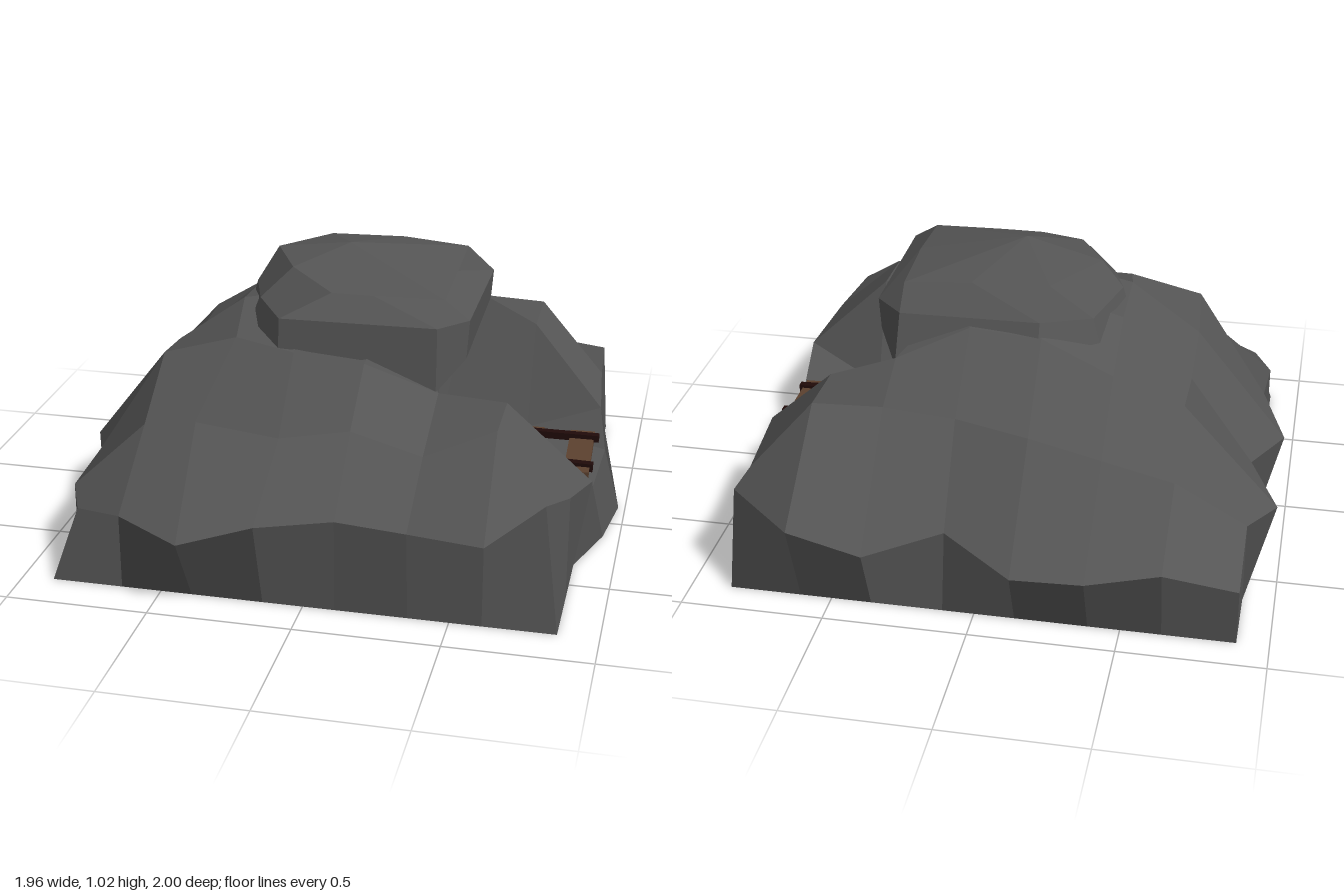
import * as THREE from 'three';

const rock = new THREE.MeshStandardMaterial({ color: 0x555555 });
rock.name = 'dark rock';
const timber = new THREE.MeshStandardMaterial({ color: 0x5c412f });
timber.name = 'brown timber';
const iron = new THREE.MeshStandardMaterial({ color: 0x200b09 });
iron.name = 'rusty iron';

// Flat-faceted rock mesh; each triangle or quad (list of [x, y, z] corners) gets one normal
function rockMesh(name, faces) {
  const position = [], normal = [];
  for (const face of faces) {
    const p = face.map((c) => new THREE.Vector3(...c));
    const last = p.length - 1;
    const n = p[2].clone().sub(p[0]).cross(p[last].clone().sub(p[1 % last])).normalize();
    if (last === 2) n.copy(p[1]).sub(p[0]).cross(p[2].clone().sub(p[0])).normalize();
    for (let k = 1; k < last; k++) for (const c of [p[0], p[k], p[k + 1]]) {
      position.push(c.x, c.y, c.z);
      normal.push(n.x, n.y, n.z);
    }
  }
  const geo = new THREE.BufferGeometry();
  geo.setAttribute('position', new THREE.Float32BufferAttribute(position, 3));
  geo.setAttribute('normal', new THREE.Float32BufferAttribute(normal, 3));
  const mesh = new THREE.Mesh(geo, rock);
  mesh.name = name;
  return mesh;
}

// Joins two closed loops running counter-clockwise seen from above
function bridge(faces, low, high) {
  low.forEach((p, i) => {
    const k = (i + 1) % low.length;
    faces.push([p, low[k], high[k], high[i]]);
  });
}

// Closes a loop to a single point, facing up or down
function fan(faces, loop, tip, up) {
  loop.forEach((p, i) => {
    const q = loop[(i + 1) % loop.length];
    faces.push(up ? [p, q, tip] : [q, p, tip]);
  });
}

function createMound() {
  const xs = [-0.89, -0.64, -0.39, -0.14, 0.11, 0.36, 0.61, 0.86];
  const zs = [-0.88, -0.63, -0.38, -0.14, 0.11, 0.35, 0.6, 0.845];
  // Heights, one row per z from back to front
  const heights = [
    [0.20, 0.28, 0.24, 0.22, 0.28, 0.25, 0.33, 0.37],
    [0.30, 0.44, 0.50, 0.56, 0.61, 0.63, 0.62, 0.34],
    [0.23, 0.60, 0.69, 0.81, 0.83, 0.72, 0.61, 0.34],
    [0.26, 0.58, 0.80, 0.87, 0.87, 0.26, 0.25, 0.21],
    [0.23, 0.64, 0.82, 0.87, 0.87, 0.25, 0.24, 0.23],
    [0.28, 0.68, 0.75, 0.73, 0.71, 0.62, 0.61, 0.33],
    [0.25, 0.48, 0.51, 0.50, 0.55, 0.48, 0.60, 0.38],
    [0.24, 0.27, 0.265, 0.33, 0.33, 0.33, 0.29, 0.43],
  ];
  // Ragged upper rim
  const backZ = [-0.88, -0.95, -0.99, -0.975, -0.83, -0.98, -1.0, -0.83];
  const frontZ = [0.76, 0.845, 1.0, 0.945, 0.845, 0.88, 0.845, 0.78];
  const leftX = [-0.89, -0.89, -0.98, -0.87, -0.975, -0.88, -0.89, -0.82];
  const rightX = [0.84, 0.85, 0.87, 0.9, 0.9, 0.91, 0.86, 0.8];
  // Points pulled to shape the trench and front slope, keyed row,column
  const moved = {
    '2,5': [0.36, -0.44], '2,6': [0.61, -0.4], '2,7': [0.88, -0.28],
    '3,4': [0.2, -0.24], '3,5': [0.28, -0.25], '3,6': [0.61, -0.25], '3,7': [0.91, -0.19],
    '4,4': [0.2, 0.22], '4,5': [0.28, 0.24], '4,6': [0.61, 0.22], '4,7': [0.9, 0.18],
    '5,1': [-0.62, 0.35], '5,2': [-0.36, 0.33], '5,3': [-0.14, 0.38], '5,4': [0.11, 0.38],
    '5,5': [0.37, 0.37], '5,6': [0.61, 0.38], '6,1': [-0.64, 0.54], '6,2': [-0.45, 0.55],
  };
  const top = heights.map((row, j) => row.map((y, i) => {
    let x = i === 0 ? leftX[j] : i === 7 ? rightX[j] : xs[i];
    let z = j === 0 ? backZ[i] : j === 7 ? frontZ[i] : zs[j];
    if (moved[`${j},${i}`]) [x, z] = moved[`${j},${i}`];
    return [x, y, z];
  }));
  const faces = [];
  for (let j = 0; j < 7; j++) for (let i = 0; i < 7; i++) {
    const a = top[j][i], b = top[j][i + 1], c = top[j + 1][i + 1], d = top[j + 1][i];
    // The trench walls fold along the other diagonal
    if (j === 2 && i > 3) faces.push([a, d, b], [b, d, c]);
    else if (j === 4 && i > 3) faces.push([a, d, c], [a, c, b]);
    else faces.push([a, d, c, b]);
  }
  // Sides down to the flat base, bulging below the trench
  const border = [];
  for (let k = 7; k > 0; k--) border.push([k, 7]);
  for (let k = 7; k > 0; k--) border.push([0, k]);
  for (let k = 0; k < 7; k++) border.push([k, 0]);
  for (let k = 0; k < 7; k++) border.push([7, k]);
  const rim = border.map(([j, i]) => top[j][i]);
  const foot = border.map(([j, i]) => {
    const bulge = i === 7 ? (j === 3 ? 0.115 : j === 4 ? 0.08 : 0) : 0;
    return [xs[i] + bulge, 0, zs[j]];
  });
  bridge(faces, foot, rim);
  fan(faces, foot, [0, 0, 0], false);
  return rockMesh('mound', faces);
}

// Rock cap overhanging the tunnel mouth, sunk into the mound at the left and back
function createCap() {
  const low = [
    [0.45, 0.72, 0.28], [0.45, 0.75, -0.28], [0.37, 0.68, -0.42], [-0.13, 0.76, -0.4],
    [-0.34, 0.72, -0.28], [-0.4, 0.74, 0], [-0.37, 0.72, 0.2], [-0.2, 0.7, 0.37], [0.36, 0.62, 0.37],
  ];
  const mid = [
    [0.46, 0.86, 0.28], [0.46, 0.86, -0.27], [0.36, 0.86, -0.37], [-0.13, 0.86, -0.36],
    [-0.3, 0.84, -0.25], [-0.37, 0.85, 0], [-0.32, 0.84, 0.15], [-0.2, 0.84, 0.35], [0.36, 0.85, 0.36],
  ];
  const high = [
    [0.37, 0.92, 0.26], [0.37, 0.94, 0], [0.36, 0.94, -0.29], [0.12, 0.96, -0.29],
    [-0.15, 0.96, -0.27], [-0.3, 0.97, -0.05], [-0.2, 0.96, 0.14], [-0.03, 0.92, 0.27], [0.12, 0.92, 0.27],
  ];
  const faces = [];
  bridge(faces, low, mid);
  bridge(faces, mid, high);
  fan(faces, high, [-0.02, 1.02, 0], true);
  fan(faces, low, [0.2, 0.66, 0], false);
  return rockMesh('rockCap', faces);
}

function createTrack() {
  const track = new THREE.Group();
  track.name = 'track';
  const addBox = (name, size, pos, mat, turn = [0, 0, 0]) => {
    const mesh = new THREE.Mesh(new THREE.BoxGeometry(...size), mat);
    mesh.name = name;
    mesh.position.set(...pos);
    mesh.rotation.set(...turn);
    track.add(mesh);
  };
  // Sleepers, sagging towards the front side
  [[0.485, 0.02], [0.635, -0.02], [0.83, 0.03]].forEach(([x, yaw]) =>
    addBox('sleeper', [0.09, 0.022, 0.33], [x, 0.265, -0.015], timber, [0.05, yaw, 0]));
  // Rails
  addBox('rail', [0.59, 0.026, 0.028], [0.595, 0.284, -0.125], iron);
  addBox('rail', [0.59, 0.03, 0.028], [0.595, 0.274, 0.095], iron, [0, 0, -0.025]);
  return track;
}

export function createModel() {
  const model = new THREE.Group();
  model.name = 'rockyMineEntrance';
  model.add(createMound(), createCap(), createTrack());
  return model;
}
